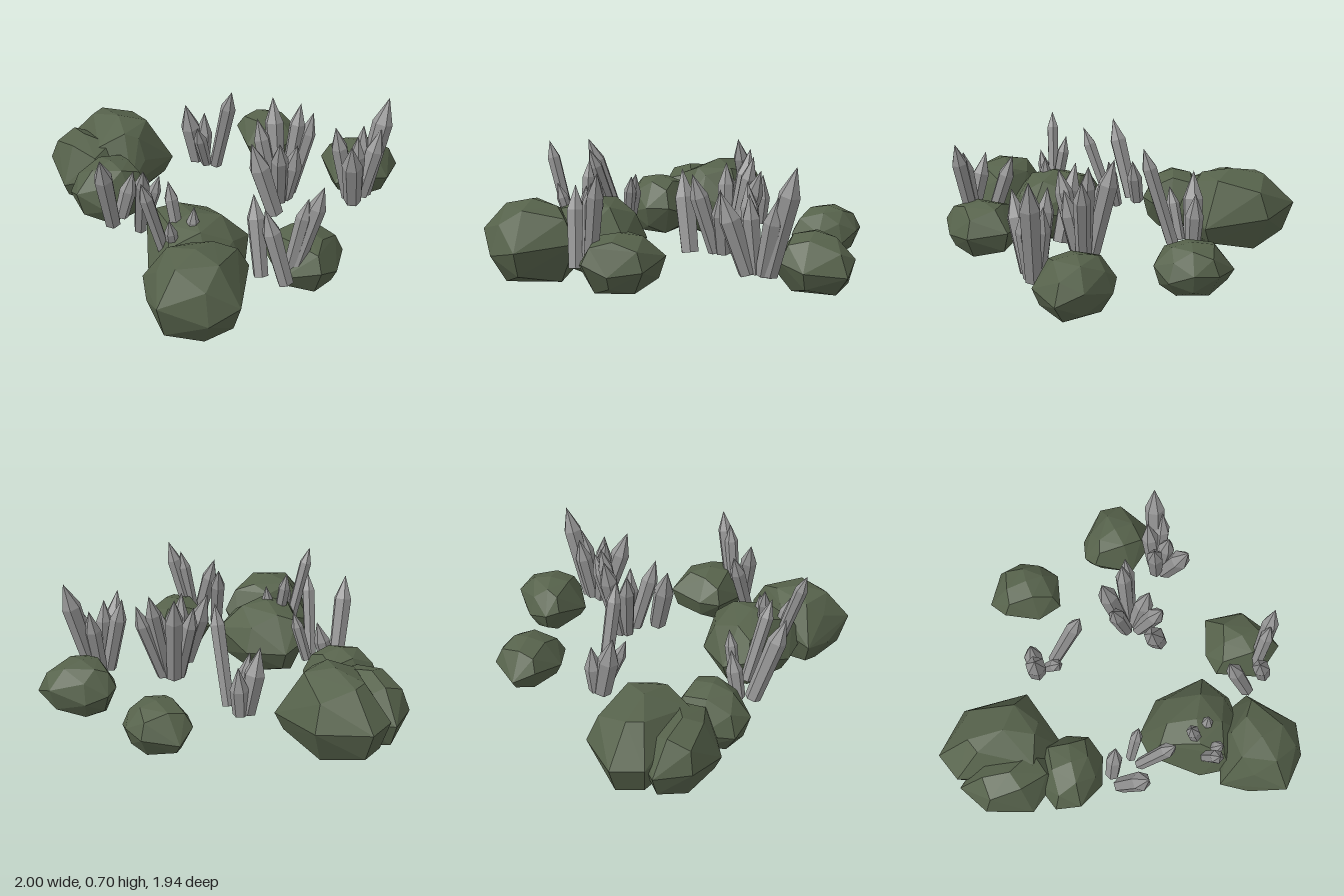
import * as THREE from 'three';
import { ConvexGeometry } from 'three/addons/geometries/ConvexGeometry.js';

const mossStone = new THREE.MeshStandardMaterial({ color: 0x56624b });
const greyCrystal = new THREE.MeshStandardMaterial({ color: 0x969696 });

// Faceted boulder: hull of a plan outline [x, z], narrowed towards its base and crown
function boulder(name, y0, y1, ...outline) {
  const h = y1 - y0;
  const cx = outline.reduce((s, p) => s + p[0], 0) / outline.length;
  const cz = outline.reduce((s, p) => s + p[1], 0) / outline.length;
  const points = [new THREE.Vector3(cx, y1, cz)];
  outline.forEach(([x, z], i) => {
    const wobble = Math.sin(i * 2.4 + cx * 9);
    const at = (s, level) =>
      points.push(new THREE.Vector3(cx + (x - cx) * s, y0 + h * level, cz + (z - cz) * s));
    at(1, 0.45 + 0.12 * wobble);
    if (i % 2) {
      at(0.66, 0);
      at(0.78, 0.78 + 0.06 * wobble);
    } else {
      at(0.84, 0.14);
      at(0.52, 0.92);
    }
  });
  const mesh = new THREE.Mesh(new ConvexGeometry(points), mossStone);
  mesh.name = name;
  return mesh;
}

// Six-sided crystal that swells to a shoulder and ends in a point
function crystal(base, tip, r, turn) {
  const axis = tip.clone().sub(base);
  const len = axis.length();
  const neck = len - r * 2.6;
  const profile = [[0, 0], [r * 0.85, 0], [r, neck], [r * 0.88, neck + r * 0.3], [0, len]]
    .map(([px, py]) => new THREE.Vector2(px, py));
  const geometry = new THREE.LatheGeometry(profile, 6, turn).toNonIndexed();
  geometry.computeVertexNormals();
  const mesh = new THREE.Mesh(geometry, greyCrystal);
  mesh.position.copy(base);
  mesh.quaternion.setFromUnitVectors(new THREE.Vector3(0, 1, 0), axis.normalize());
  mesh.name = 'crystal';
  return mesh;
}

// Cluster of crystals that fan out around one root [x, z] to their tips [x, y, z]
function cluster(name, [x, z], r, ...tips) {
  const group = new THREE.Group();
  group.name = name;
  const root = new THREE.Vector3(x, 0.15, z);
  tips.forEach((t, i) => {
    const tip = new THREE.Vector3(...t);
    const base = root.clone().lerp(tip, 0.28).setY(0.15);
    group.add(crystal(base, tip, r * (1 + 0.1 * Math.cos(i * 2)), i * 0.4));
  });
  return group;
}

export function createModel() {
  const model = new THREE.Group();
  model.name = 'rocksAndCrystals';

  // Boulders: base and top heights, plan outline
  model.add(
    boulder('rightBigBoulder', 0, 0.44,
      [-1, 0.2], [-0.8, -0.01], [-0.44, -0.01], [-0.38, 0.23], [-0.33, 0.36], [-0.5, 0.5], [-0.94, 0.36]),
    boulder('rightFrontBoulder', 0.01, 0.38,
      [-0.94, 0.4], [-0.84, 0.57], [-0.6, 0.64], [-0.42, 0.52], [-0.38, 0.3], [-0.78, 0.26]),
    boulder('rightSmallBoulder', 0.04, 0.37,
      [-0.54, 0.5], [-0.48, 0.67], [-0.35, 0.71], [-0.2, 0.62], [-0.15, 0.48], [-0.19, 0.35], [-0.3, 0.29], [-0.45, 0.33]),
    boulder('centreBoulder', 0, 0.39,
      [0.08, 0.42], [0.24, 0.25], [0.52, 0.23], [0.64, 0.36], [0.63, 0.58], [0.49, 0.76], [0.33, 0.73], [0.09, 0.56]),
    boulder('frontBoulder', 0, 0.42,
      [0.41, 0.82], [0.5, 0.58], [0.61, 0.43], [0.72, 0.4], [0.93, 0.63], [0.9, 0.8], [0.73, 0.97], [0.55, 0.9]),
    boulder('leftBoulder', 0.06, 0.34,
      [0.66, -0.1], [0.88, -0.09], [0.98, 0.05], [1, 0.18], [0.84, 0.3], [0.61, 0.22], [0.59, 0.1]),
    boulder('backBoulder', 0.07, 0.32,
      [-0.48, -0.6], [-0.37, -0.76], [-0.24, -0.78], [-0.12, -0.74], [-0.06, -0.63], [-0.1, -0.46], [-0.24, -0.42], [-0.42, -0.49]),
    boulder('backLeftBoulder', 0.05, 0.34,
      [0.13, -0.7], [0.16, -0.82], [0.31, -0.96], [0.45, -0.97], [0.55, -0.78], [0.5, -0.64], [0.37, -0.55], [0.17, -0.63]),
  );

  // Crystals standing free between the boulders
  model.add(
    cluster('frontCrystals', [-0.14, 0.6], 0.047, [0, 0.62, 0.77], [-0.09, 0.42, 0.51]),
    cluster('frontLeftCrystals', [-0.02, 0.54], 0.036, [0.19, 0.6, 0.64], [0.06, 0.44, 0.45]),
    cluster('backRightCrystals', [-0.34, -0.15], 0.053, [-0.36, 0.52, -0.05], [-0.35, 0.43, -0.18]),
    cluster('backRightLeaningCrystals', [-0.29, -0.17], 0.039, [-0.07, 0.68, -0.15], [-0.23, 0.43, -0.03]),
    cluster('middleCrystals', [0.26, -0.23], 0.049,
      [0.1, 0.67, -0.3], [0.28, 0.6, -0.44], [0.12, 0.59, -0.17], [0.36, 0.5, -0.25],
      [0.38, 0.57, -0.1], [0.24, 0.66, -0.38]),
    cluster('middleLeaningCrystal', [0.41, -0.12], 0.053, [0.28, 0.57, 0.01]),
    cluster('backLeftCrystals', [0.53, -0.54], 0.051,
      [0.55, 0.7, -0.74], [0.48, 0.54, -0.63], [0.45, 0.58, -0.44], [0.63, 0.56, -0.38],
      [0.58, 0.55, -0.66], [0.56, 0.55, -0.5]),
    cluster('leftCrystals', [0.81, 0.27], 0.041, [0.93, 0.66, 0.12], [0.89, 0.6, 0.18]),
    cluster('leftLeaningCrystals', [0.91, 0.27], 0.044, [0.77, 0.55, 0.35]),
    cluster('leftOuterCrystal', [0.8, 0.37], 0.042, [0.62, 0.54, 0.29]),
  );

  // Crystals growing out of the centre boulder
  model.add(
    cluster('boulderCrystals', [0.42, 0.55], 0.033, [0.3, 0.57, 0.57], [0.43, 0.46, 0.51]),
    cluster('boulderFrontCrystals', [0.38, 0.58], 0.033, [0.37, 0.67, 0.78], [0.45, 0.46, 0.68]),
  );
  return model;
}
